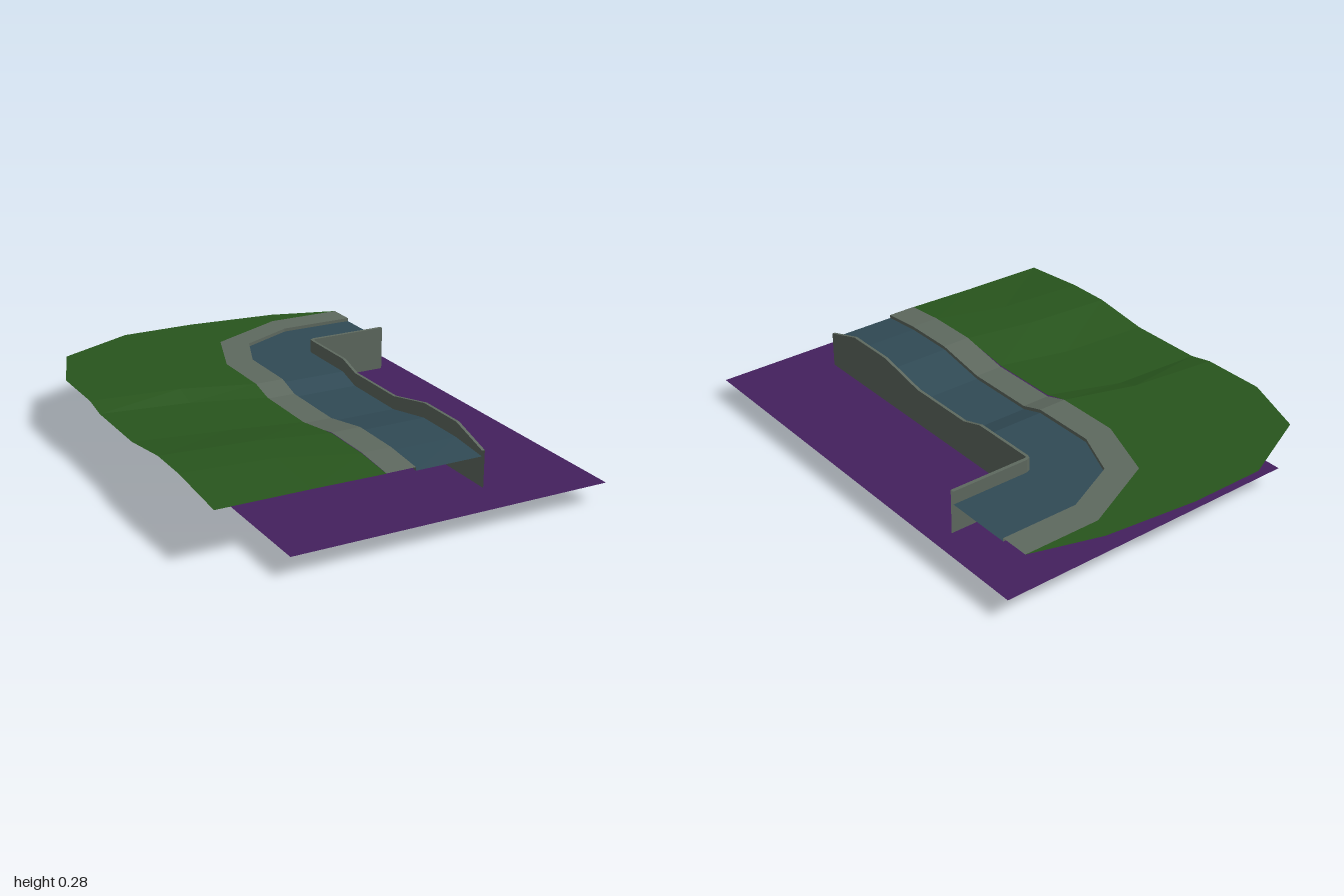
import * as THREE from 'three';

// Stations run from the front (+z) to the back, then round the bend to +x.
const breaks = [0.83, 0.66, 0.44, 0.22, -0.08, -0.18];

// A line of [x, y, z] points: straight run at x, then the bend points, with one height each.
function line(x, bend, heights, zs = breaks) {
  return [...zs.map(z => [x, z]), ...bend].map(([px, pz], i) =>
    [px, heights[Math.min(i, heights.length - 1)], pz]);
}

// Faceted sheet through neighbouring lines, ordered left to right.
function loft(name, color, lines) {
  const pos = [];
  for (let j = 0; j + 1 < lines.length; j++) {
    const a = lines[j], b = lines[j + 1];
    for (let i = 0; i + 1 < a.length; i++) {
      pos.push(...a[i], ...b[i], ...b[i + 1], ...a[i], ...b[i + 1], ...a[i + 1]);
    }
  }
  const geo = new THREE.BufferGeometry();
  geo.setAttribute('position', new THREE.Float32BufferAttribute(pos, 3));
  geo.computeVertexNormals();
  const mesh = new THREE.Mesh(geo, new THREE.MeshStandardMaterial({
    color, flatShading: true, side: THREE.DoubleSide }));
  mesh.name = name;
  return mesh;
}

export function createModel() {
  const group = new THREE.Group();
  const GREEN = 0x28551d, STONE = 0x5e695f, ROAD = 0x304a55, PURPLE = 0x44205e;

  // Height of each surface at the stations; the last value holds round the bend
  const kerbY = [0.22, 0.235, 0.235, 0.195, 0.195, 0.225];
  const roadY = kerbY.map(y => y - 0.014);
  const wallTop = [0.228, 0.28, 0.28, 0.235, 0.235, 0.265];
  const wallBottom = [0.05, 0.05, 0.05, 0, 0, 0.033];

  // Bend points of the kerb and wall edges
  const kerbOuter = [[-0.09, -0.45], [0.01, -0.72], [0.34, -0.875], [0.66, -0.875]];
  const kerbInner = [[0.03, -0.45], [0.11, -0.645], [0.34, -0.755], [0.66, -0.755]];
  const wallInner = [[0.308, -0.45], [0.313, -0.466], [0.33, -0.473], [0.66, -0.473]];
  const wallOuter = [[0.32, -0.45], [0.322, -0.455], [0.33, -0.458], [0.66, -0.458]];

  // Grass bank, with its kerb-side points doubled to fan round the bend
  const [k1, k2, k3, k4] = kerbOuter;
  group.add(loft('grassBank', GREEN, [
    line(-0.745, [[-0.745, -0.575], [-0.64, -0.85], [-0.315, -1], [0, -1], [0.38, -0.96], [0.66, -0.875]],
      [0.215, 0.238, 0.238, 0.205, 0.205, 0.225], [0.815, 0.53, 0.35, 0.11, -0.21, -0.31]),
    line(-0.38, [[-0.38, -0.53], [-0.34, -0.64], [-0.15, -0.86], [0, -0.88], [0.36, -0.92], [0.66, -0.875]],
      [0.217, 0.236, 0.236, 0.196, 0.196, 0.225], [0.82, 0.56, 0.38, 0.15, -0.18, -0.27]),
    line(-0.09, [k1, k1, k2, k2, k3, k4], [0.219, 0.233, 0.233, 0.2, 0.2, 0.225]),
  ]));

  // Kerb ribbon with a small step down to the channel
  group.add(loft('kerb', STONE, [
    line(-0.09, kerbOuter, kerbY),
    line(0.03, kerbInner, kerbY),
    line(0.03, kerbInner, roadY),
  ]));

  // Blue channel between the kerb and the wall
  group.add(loft('channel', ROAD, [
    line(0.03, kerbInner, roadY),
    line(0.308, wallInner, roadY),
  ]));

  // Retaining wall: inner lip, narrow top, tall outer face
  group.add(loft('retainingWall', STONE, [
    line(0.308, wallInner, roadY),
    line(0.308, wallInner, wallTop),
    line(0.32, wallOuter, wallTop),
    line(0.32, wallOuter, wallBottom),
  ]));

  // Flat ground sheet
  const ground = new THREE.Mesh(
    new THREE.PlaneGeometry(1.3, 1.885).rotateX(-Math.PI / 2),
    new THREE.MeshStandardMaterial({ color: PURPLE, side: THREE.DoubleSide }));
  ground.name = 'groundSheet';
  ground.position.set(0.093, 0.08, 0.057);
  group.add(ground);

  return group;
}
